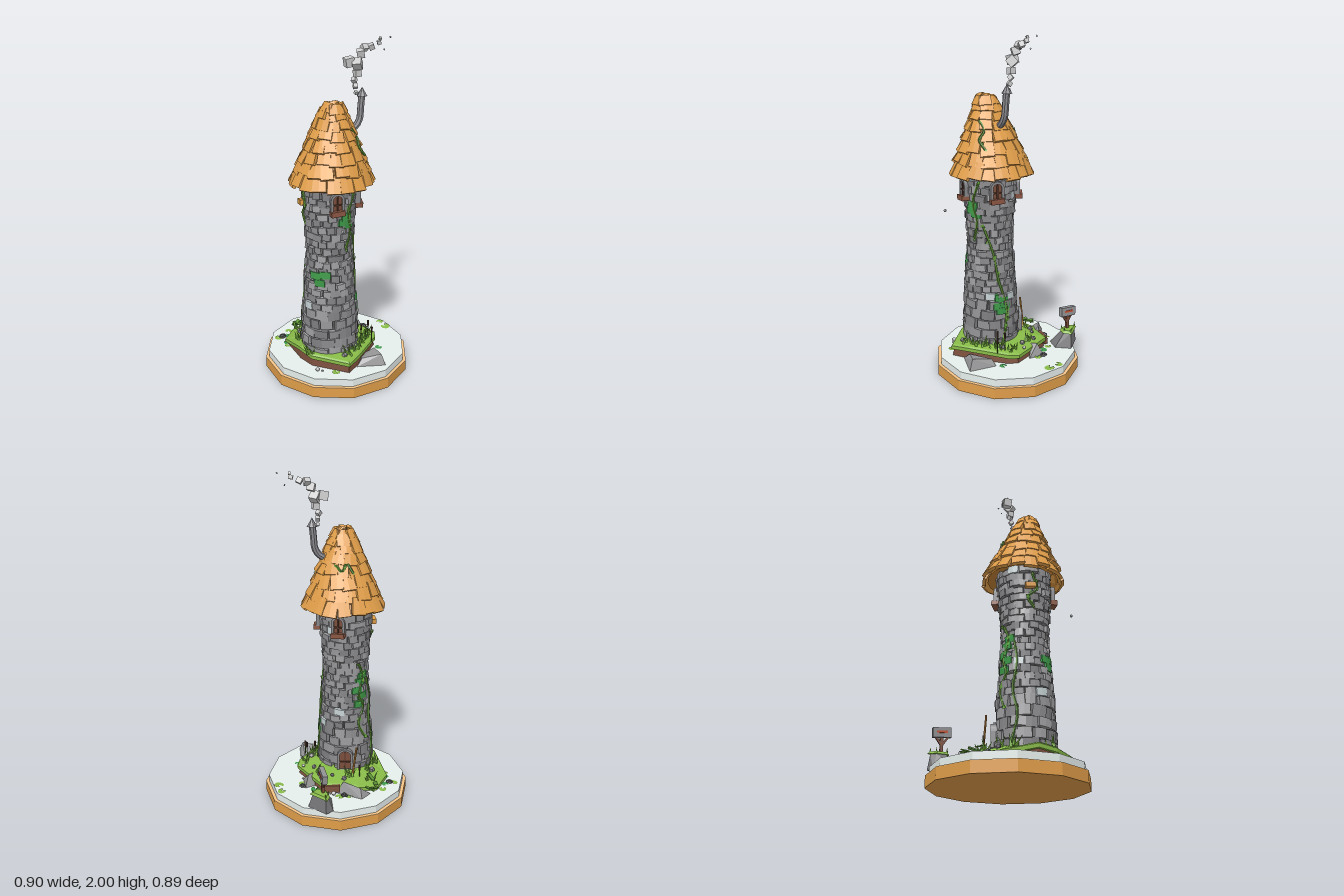
import * as THREE from 'three';
import { mergeGeometries } from 'three/addons/utils/BufferGeometryUtils.js';
import { ConvexGeometry } from 'three/addons/geometries/ConvexGeometry.js';

const V = (x, y, z) => new THREE.Vector3(x, y, z);
const CX = -0.011, CZ = 0.104; // tower axis
const GREEN = 0x88bb48, DARK_GREEN = 0x3f9a4a, BROWN = 0x7a4e3c, ORANGE = 0xdf9d49;

let seed = 7;
const rnd = (a = 0, b = 1) => {
  seed = (seed * 16807) % 2147483647;
  return a + (b - a) * seed / 2147483647;
};

// one named mesh from one or many geometries
function part(name, geos, color, side = THREE.FrontSide) {
  const list = [geos].flat().map(g => {
    const n = g.index ? g.toNonIndexed() : g;
    n.deleteAttribute('uv');
    n.computeVertexNormals();
    return n;
  });
  const mesh = new THREE.Mesh(mergeGeometries(list),
    new THREE.MeshStandardMaterial({ color, side, flatShading: true }));
  mesh.name = name;
  return mesh;
}

function at(geo, x, y, z, rx = 0, ry = 0, rz = 0) {
  const o = new THREE.Object3D();
  o.position.set(x, y, z);
  o.rotation.set(rx, ry, rz, 'YXZ');
  o.updateMatrix();
  return geo.applyMatrix4(o.matrix);
}

// place around the tower: angle runs from the front toward +x
const around = (geo, a, y, r, tilt = 0, roll = 0, cx = CX, cz = CZ) =>
  at(geo, cx + r * Math.sin(a), y, cz + r * Math.cos(a), -tilt, a, roll);

const lerpTable = table => y => {
  let i = 0;
  while (i < table.length - 2 && y > table[i + 1][0]) i++;
  const [y0, r0] = table[i], [y1, r1] = table[i + 1];
  return r0 + (r1 - r0) * (y - y0) / (y1 - y0);
};
const wallR = lerpTable([[0.19, 0.165], [0.4, 0.158], [0.6, 0.142], [0.8, 0.126], [1, 0.139], [1.23, 0.154]]);
const roofR = lerpTable([[1.22, 0.235], [1.3, 0.206], [1.4, 0.163], [1.5, 0.12], [1.6, 0.08], [1.68, 0.045]]);
const wall = (deg, y, off) => {
  const a = deg * Math.PI / 180, r = wallR(y) + off;
  return V(CX + r * Math.sin(a), y, CZ + r * Math.cos(a));
};

// block bent to follow a round wall, with a narrowed top
function block(w, h, d, r, taper = 1) {
  const g = new THREE.BoxGeometry(w, h, d, 2, 1, 1), p = g.attributes.position;
  for (let i = 0; i < p.count; i++) {
    const x = p.getX(i) * (p.getY(i) > 0 ? taper : 1);
    p.setX(i, x);
    p.setZ(i, p.getZ(i) - x * x / (2 * r));
  }
  return g;
}

// skin over closed rings listed from bottom to top
function loft(rings) {
  const pos = [];
  for (let k = 0; k < rings.length - 1; k++) {
    const A = rings[k], B = rings[k + 1], n = A.length;
    for (let i = 0; i < n; i++) {
      const j = (i + 1) % n;
      for (const v of [A[i], A[j], B[j], A[i], B[j], B[i]]) pos.push(v.x, v.y, v.z);
    }
  }
  return new THREE.BufferGeometry().setAttribute('position', new THREE.Float32BufferAttribute(pos, 3));
}

function tower(root) {
  const core = [0.12, 0.4, 0.6, 0.8, 1, 1.25].map(y => new THREE.Vector2(wallR(Math.max(y, 0.19)) - 0.012, y));
  root.add(part('towerCore', new THREE.LatheGeometry(core, 20).translate(CX, 0, CZ), 0x6a6a6c));
  const tones = [0x929295, 0x848487, 0xa0a0a3, 0xc9d4d6], bricks = tones.map(() => []);
  let y = 0.165;
  for (let row = 0; y < 1.21; row++) {
    const h = y < 0.45 ? 0.06 : 0.043, r = wallR(y + h / 2), n = y < 0.45 ? 13 : 16;
    for (let i = 0; i < n; i++) {
      const a = (i + (row % 2) / 2 + rnd(-0.12, 0.12)) / n * Math.PI * 2;
      const w = Math.PI * 2 * r / n * rnd(0.8, 1.12), t = rnd();
      bricks[t < 0.45 ? 0 : t < 0.72 ? 1 : t < 0.975 ? 2 : 3].push(around(block(w, h * rnd(0.84, 1.1), 0.028, r), a,
        y + h / 2 + rnd(-0.006, 0.006), r - 0.007 + rnd(-0.005, 0.009), rnd(-0.12, 0.12), rnd(-0.1, 0.1)));
    }
    y += h;
  }
  bricks.forEach((b, i) => root.add(part('towerBricks', b, tones[i])));
  // mossy bricks: angle, height
  const mossy = [[-5, 0.64], [8, 0.69], [-16, 0.68], [52, 1.01], [66, 0.99], [58, 1.04], [118, 0.43], [128, 0.46], [124, 0.4],
    [132, 0.43], [122, 0.48], [240, 0.62], [250, 0.67], [236, 0.71], [246, 0.76], [254, 0.8]];
  root.add(part('mossyBricks', mossy.map(([d, h]) =>
    around(block(0.065, 0.042, 0.022, 0.14), d * Math.PI / 180, h, wallR(h) + 0.004, rnd(-0.08, 0.08), rnd(-0.1, 0.1))), DARK_GREEN));
}

function roof(root) {
  const rows = [1.215, 1.285, 1.35, 1.415, 1.475, 1.53, 1.58, 1.62], tiles = [];
  rows.forEach((y, k) => {
    const r0 = roofR(y), y1 = (rows[k + 1] ?? 1.65) + 0.016, r1 = roofR(y1);
    const n = Math.max(6, Math.round(r0 * 2 * Math.PI / 0.078)), f = (y - 1.215) / 0.45;
    for (let i = 0; i < n; i++) {
      const a = (i + (k % 2) / 2 + rnd(-0.12, 0.12)) / n * Math.PI * 2;
      const g = block(Math.PI * 2 * r0 / n * rnd(0.92, 1.15), Math.hypot(y1 - y, r0 - r1) * rnd(0.95, 1.15), 0.02, r0 * 1.5, 0.86);
      tiles.push(around(g, a, (y + y1) / 2 + rnd(-0.01, 0.01), (r0 + r1) / 2 - 0.006 + rnd(-0.004, 0.005),
        Math.atan2(r0 - r1, y1 - y) + rnd(0.02, 0.24), rnd(-0.15, 0.15), 0.02 * f, 0.09 + 0.03 * f));
    }
  });
  root.add(part('roofTiles', tiles, ORANGE));
  const shell = new THREE.CylinderGeometry(0.022, 0.212, 0.43, 18, 1, true);
  const p = shell.attributes.position;
  for (let i = 0; i < p.count; i++) if (p.getY(i) > 0) p.setXYZ(i, p.getX(i) + 0.02, p.getY(i), p.getZ(i) + 0.03);
  root.add(part('roofShell', shell.translate(0, 1.44, 0.09), 0xb0752f, THREE.DoubleSide));
  // ridge of leaning tiles over the peak
  root.add(part('roofPeak', [0.4, 2, 3.4, 5].map((a, i) =>
    around(block(0.062, 0.06, 0.018, 0.08, 0.75), a, 1.65 - i * 0.003, 0.026, 0.65, 0.1, 0.024, 0.118)), ORANGE));
}

function arch(w, h) {
  const s = new THREE.Shape();
  s.moveTo(-w / 2, 0).lineTo(w / 2, 0).lineTo(w / 2, h - w / 2);
  s.absarc(0, h - w / 2, w / 2, 0, Math.PI, false);
  return s;
}

function opening(name, deg, y, w, h, off, sill) {
  const g = new THREE.Group();
  const ring = arch(w + 0.028, h + 0.014);
  ring.holes.push(arch(w, h));
  const solid = (s, depth) => new THREE.ExtrudeGeometry(s, { depth, bevelEnabled: false, curveSegments: 6 });
  g.add(part(name + 'Surround', solid(ring, 0.05).translate(0, 0, -0.03), 0x88888b));
  g.add(part(name + 'Panel', solid(arch(w, h), 0.03).translate(0, 0, -0.02), BROWN));
  g.add(part(name + 'Bars', [new THREE.BoxGeometry(0.008, h * 0.9, 0.01).translate(0, h * 0.47, 0.013),
    new THREE.BoxGeometry(w, 0.008, 0.01).translate(0, h * 0.4, 0.013)], 0x5a382c));
  if (sill) g.add(part(name + 'Sill', at(new THREE.BoxGeometry(0.08, 0.03, 0.045), 0, -0.012, 0.012, 0, 0, 0.08), 0x8a5642));
  g.position.copy(wall(deg, y, off));
  g.rotation.y = deg * Math.PI / 180;
  g.name = name;
  return g;
}

// creeper with a leaf at every step
function vine(root, points, leafSize = 0.022) {
  const curve = new THREE.CatmullRomCurve3(points), n = Math.ceil(curve.getLength() / 0.045);
  root.add(part('vineStem', new THREE.TubeGeometry(curve, n * 3, 0.0075, 5), 0x5f9038));
  const leaves = [];
  for (let i = 0; i <= n; i++) {
    const p = curve.getPoint(i / n), s = leafSize * rnd(0.7, 1.2);
    leaves.push(at(new THREE.CircleGeometry(s, 4).scale(0.6, 1, 1), p.x + rnd(-0.008, 0.008), p.y, p.z + rnd(-0.008, 0.008),
      rnd(-0.6, 0.6), Math.atan2(p.x - CX, p.z - CZ), rnd(-1, 1)));
  }
  root.add(part('vineLeaves', leaves, 0x6aa83f, THREE.DoubleSide));
}

function ground(root) {
  const disc = (r, h, y) => new THREE.CylinderGeometry(r, r, h, 12).scale(1, 1, 0.985).translate(0, y + h / 2, 0);
  root.add(part('baseRim', disc(0.45, 0.063, 0), ORANGE));
  root.add(part('baseRimTop', disc(0.45, 0.003, 0.063), 0xf6c487));
  root.add(part('baseTop', disc(0.43, 0.046, 0.065), 0xe6efed));
  // mound outline: x, z, height
  const rim = [[-0.06, 0.3, 0.18], [0.18, 0.31, 0.175], [0.21, 0.2, 0.18], [0.24, -0.05, 0.168], [0.22, -0.11, 0.165],
    [-0.03, -0.24, 0.17], [-0.22, -0.14, 0.15], [-0.31, -0.06, 0.13], [-0.31, 0.09, 0.135], [-0.16, 0.24, 0.19]];
  const ring = (s, f) => rim.map(([x, z, y]) => V(CX + (x - CX) * s, f(y), CZ + (z - CZ) * s));
  root.add(part('moundSoil', loft([ring(0.97, () => 0.108), ring(0.93, y => y - 0.008)]), BROWN));
  root.add(part('moundGrass', loft([ring(0.92, y => y - 0.026), ring(1, y => y - 0.022), ring(1, y => y),
    ring(0.95, y => y + 0.008), ring(0.45, () => 0.2)]), GREEN));

  const rock = pts => new ConvexGeometry(pts.map(p => V(...p)));
  root.add(part('rocks', [
    rock([[0.27, 0.11, 0.02], [0.36, 0.11, 0.16], [0.2, 0.11, 0.23], [0.19, 0.11, 0.08], [0.33, 0.175, 0.15], [0.22, 0.15, 0.19], [0.26, 0.15, 0.05]]),
    rock([[-0.29, 0.11, -0.11], [-0.27, 0.11, -0.19], [-0.1, 0.11, -0.2], [-0.14, 0.11, -0.12], [-0.25, 0.17, -0.17], [-0.14, 0.19, -0.18]]),
    rock([[0.04, 0.11, -0.17], [0.09, 0.11, -0.24], [0.15, 0.11, -0.16], [0.09, 0.185, -0.2], [0.08, 0.18, -0.16]])], 0x9a9a9c));
  root.add(part('soilLedge', at(new THREE.BoxGeometry(0.1, 0.045, 0.025), -0.08, 0.145, -0.215, 0.1, 0.5), BROWN));
  const pebbles = [[-0.05, 0.195, -0.15], [0.03, 0.19, -0.17], [0.1, 0.19, -0.11], [-0.12, 0.18, -0.13],
    [0.18, 0.19, 0], [-0.23, 0.18, 0.04], [0.13, 0.19, 0.25]];
  root.add(part('smallStones', pebbles.map(([x, y, z]) =>
    at(new THREE.DodecahedronGeometry(rnd(0.012, 0.021)), x, y, z, rnd(0, 3), rnd(0, 3))), 0x858588));
  root.add(part('whiteBalls', [[-0.1, 0.125, -0.23, 0.013], [-0.075, 0.12, -0.23, 0.008], [-0.01, 0.122, 0.34, 0.012],
    [0.02, 0.118, 0.34, 0.006], [0.14, 1.01, 0.34, 0.009], [0.165, 0.19, -0.13, 0.01], [0.15, 0.12, -0.165, 0.006]]
    .map(([x, y, z, r]) => new THREE.IcosahedronGeometry(r, 1).translate(x, y, z)), 0xe6e6e6));

  // flat notched pads
  const pad = ([x, z, r]) => at(new THREE.CircleGeometry(r, 8, rnd(0, 6), 5.4).rotateX(-Math.PI / 2), x, 0.116, z, rnd(-0.1, 0.1));
  root.add(part('lightPads', [[0.2, -0.34, 0.024], [0.25, -0.29, 0.03], [0.13, -0.21, 0.022], [-0.02, -0.255, 0.02], [-0.34, -0.04, 0.022],
    [-0.37, 0.06, 0.025], [-0.28, 0.13, 0.02], [0.1, 0.325, 0.024], [-0.14, -0.23, 0.026], [-0.19, -0.2, 0.024]].map(pad), GREEN, THREE.DoubleSide));
  root.add(part('darkPads', [[0.03, -0.23, 0.026], [0.27, -0.02, 0.022], [-0.33, 0.02, 0.022], [-0.3, 0.1, 0.018]].map(pad), DARK_GREEN, THREE.DoubleSide));
  root.add(part('curledBuds', [[-0.165, -0.215], [0.108, -0.24], [-0.348, 0.045]].flatMap(([x, z]) =>
    [0.019, 0.012, 0.006].map((r, i) => at(new THREE.TorusGeometry(r, 0.004, 4, 9), x, 0.122 + i * 0.006, z, Math.PI / 2 + 0.2))), 0x6a6a6e));

  // grass tufts and reeds
  const blades = [];
  for (const [x, z, y] of [[0.18, 0.1, 0.185], [0.18, 0.05, 0.185], [0.18, 0, 0.18], [0.17, 0.17, 0.185], [0.16, 0.22, 0.18], [0.19, -0.06, 0.17],
    [-0.2, 0.04, 0.175], [-0.21, 0.12, 0.175], [-0.25, -0.03, 0.15], [-0.14, -0.09, 0.18], [0.05, -0.14, 0.18], [-0.07, 0.27, 0.18]])
    for (let i = 0; i < 7; i++) {
      const h = rnd(0.035, 0.08);
      blades.push(at(new THREE.ConeGeometry(0.009, h, 3).translate(0, h / 2, 0), x + rnd(-0.02, 0.02), y, z + rnd(-0.025, 0.025), rnd(0.1, 0.7), rnd(0, 6.28)));
    }
  root.add(part('grassBlades', blades, 0x7cb844));
  root.add(part('broadLeaves', [[-0.31, 0.15, -0.1, 1.2], [-0.26, 0.18, -0.04, -0.5], [-0.3, 0.155, -0.06, 2.2], [-0.29, 0.15, -0.12, 0.2]]
    .map(([x, y, z, a]) => at(new THREE.BoxGeometry(0.06, 0.006, 0.024), x, y, z, 0.2, a, 0.3)), 0x5f9838));
  const reeds = [[0.17, 0.03, 0.1], [0.2, -0.02, 0.11], [0.235, 0.02, 0.09], [-0.19, -0.06, 0.07]];
  root.add(part('reedStems', reeds.map(([x, z, h]) => at(new THREE.CylinderGeometry(0.003, 0.003, h, 5), x, 0.17 + h / 2, z)), 0x4e6e30));
  root.add(part('reedHeads', reeds.map(([x, z, h]) => at(new THREE.CylinderGeometry(0.006, 0.006, 0.035, 6), x, 0.165 + h, z)), 0x4a3226));
}

function signpost() {
  const g = new THREE.Group();
  g.name = 'signpost';
  const top = [[-0.155, -0.42], [-0.03, -0.4], [-0.04, -0.345], [-0.09, -0.32], [-0.15, -0.37]];
  const foot = [[-0.17, -0.37], [-0.15, -0.42], [-0.02, -0.4], [-0.02, -0.3], [-0.1, -0.26]];
  const shrink = ([x, z]) => [-0.095 + (x + 0.095) * 0.75, -0.375 + (z + 0.375) * 0.75];
  g.add(part('signRock', new ConvexGeometry([...foot.map(([x, z]) => V(x, 0.11, z)),
    ...top.map(shrink).map(([x, z]) => V(x, 0.2, z))]), 0x77777a));
  g.add(part('signGrass', new ConvexGeometry(top.flatMap(p => [V(p[0], 0.2, p[1]), V(shrink(p)[0], 0.215, shrink(p)[1])])), GREEN));
  g.add(part('signTufts', top.map(p => at(new THREE.ConeGeometry(0.008, 0.035, 3), shrink(p)[0], 0.222, shrink(p)[1], rnd(-0.4, 0.4), rnd(0, 6))), 0x7cb844));
  const x = -0.1, z = -0.365, a = -0.85;
  g.add(part('signStake', [at(new THREE.BoxGeometry(0.018, 0.1, 0.018), x, 0.26, z, 0, a),
    at(new THREE.BoxGeometry(0.012, 0.07, 0.012), x + 0.015, 0.28, z + 0.014, 0, a, -0.6),
    at(new THREE.BoxGeometry(0.012, 0.07, 0.012), x - 0.015, 0.28, z - 0.014, 0, a, 0.6)], BROWN));
  g.add(part('signBoard', at(new THREE.BoxGeometry(0.105, 0.055, 0.03), x, 0.325, z, 0.08, a, 0.06), 0x929295));
  g.add(part('signStripe', at(new THREE.BoxGeometry(0.06, 0.012, 0.036), x, 0.328, z, 0.08, a, 0.06), 0xc65334));
  return g;
}

function chimney(root) {
  const path = new THREE.CatmullRomCurve3([V(0.07, 1.49, 0.045), V(0.115, 1.52, 0.01), V(0.133, 1.56, -0.008), V(0.137, 1.62, -0.014), V(0.141, 1.69, -0.02)]);
  root.add(part('chimneyPipe', new THREE.TubeGeometry(path, 12, 0.02, 8), 0x8a8a8f));
  root.add(part('chimneyCap', new THREE.ConeGeometry(0.031, 0.05, 8).translate(0.142, 1.71, -0.022), 0x88888d));
  const puffs = [[0.106, 1.7, -0.025, 0.018], [0.1, 1.735, -0.03, 0.024], [0.092, 1.768, -0.035, 0.026], [0.108, 1.805, -0.04, 0.036],
    [0.06, 1.865, -0.04, 0.05], [0.108, 1.855, -0.045, 0.05], [0.12, 1.91, -0.065, 0.042], [0.135, 1.94, -0.085, 0.034], [0.17, 1.945, -0.105, 0.03],
    [0.205, 1.965, -0.135, 0.022], [0.21, 1.985, -0.14, 0.014], [0.255, 1.99, -0.195, 0.007], [0.23, 1.925, -0.16, 0.007]];
  root.add(part('smokeCubes', puffs.map(([x, y, z, s]) => at(new THREE.BoxGeometry(s, s, s), x, y, z, rnd(0, 1), rnd(0, 1), rnd(0, 0.5))), 0xc6c6c8));
}

export function createModel() {
  const root = new THREE.Group();
  root.name = 'stoneTower';
  ground(root);
  tower(root);
  roof(root);
  chimney(root);
  for (const deg of [34, 115, 191]) root.add(opening('window', deg, 1.09, 0.052, 0.088, 0.012, true));
  root.add(opening('door', 206, 0.2, 0.07, 0.125, 0.006, false));
  root.add(part('hangingLantern', around(new THREE.BoxGeometry(0.06, 0.03, 0.03), -0.95, 1.11, 0.165, 0, 0.1), ORANGE));
  root.add(part('walkingStaff', at(new THREE.CylinderGeometry(0.006, 0.007, 0.2, 6), -0.16, 0.27, -0.07, 0.12, 0, 0.08), 0xb9813c));
  root.add(signpost());
  // creepers on the wall: angle and height
  for (const path of [
    [[125, 0.2], [132, 0.32], [134, 0.42], [118, 0.6], [107, 0.76], [85, 0.92]],
    [[-95, 0.18], [-82, 0.35], [-92, 0.5], [-84, 0.65], [-92, 0.78]],
    [[250, 0.4], [236, 0.5], [250, 0.6], [240, 0.68], [252, 0.8], [240, 0.88]],
    [[-45, 0.98], [-60, 1.04], [-40, 1.1], [-50, 1.18]],
    [[60, 0.84], [70, 0.95], [62, 1.05], [76, 1.18]]])
    vine(root, path.map(([d, y]) => wall(d, y, 0.012)));
  // creepers on the roof
  for (const path of [[[95, 1.38], [82, 1.43], [90, 1.48], [76, 1.53]], [[190, 1.48], [205, 1.45], [215, 1.49], [228, 1.44]]])
    vine(root, path.map(([d, y]) => {
      const a = d * Math.PI / 180, r = roofR(y) + 0.012;
      return V(0.01 + r * Math.sin(a), y, 0.105 + r * Math.cos(a));
    }), 0.013);
  return root;
}
